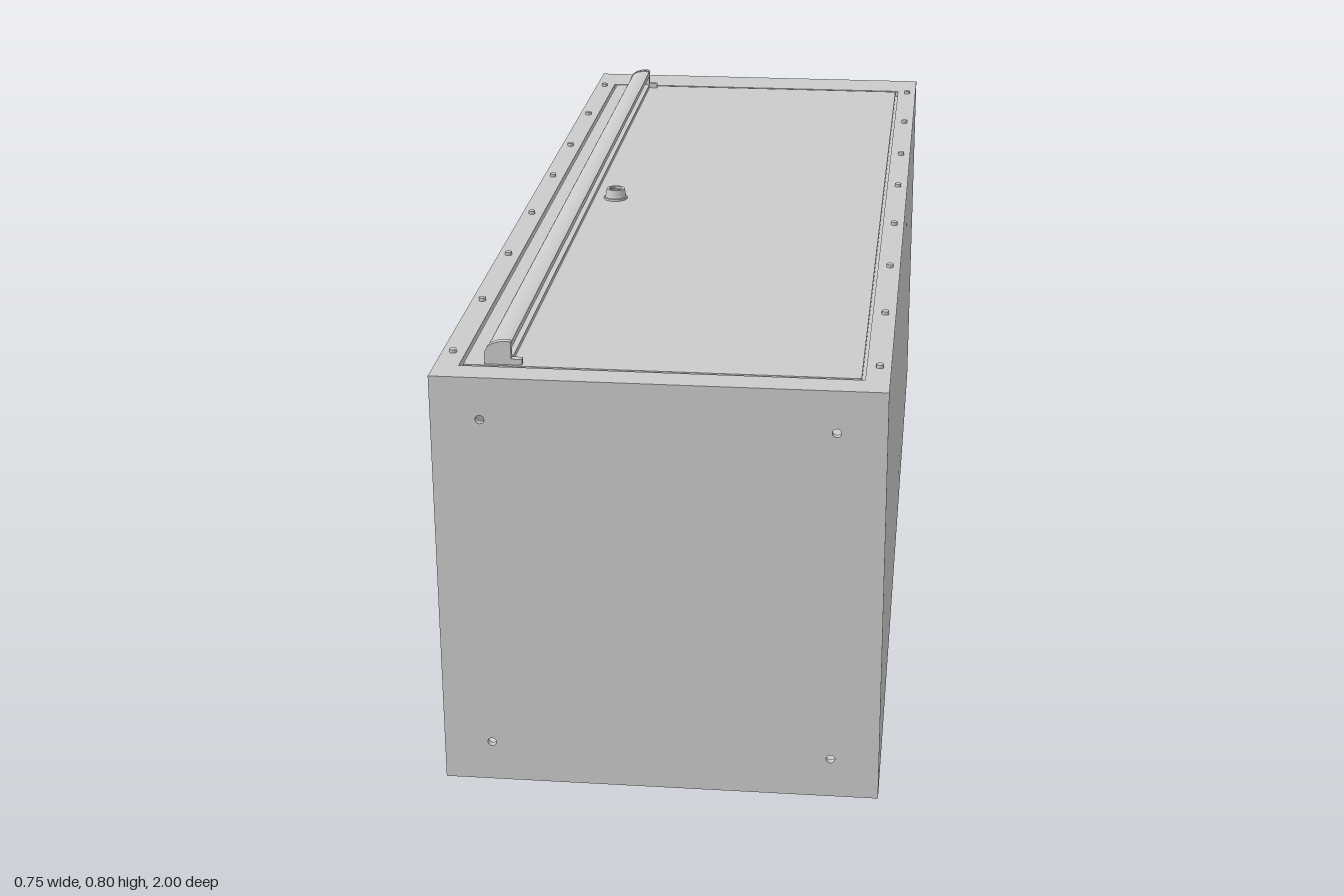
import * as THREE from 'three';

const W = 0.377, BOTTOM = 0.009, TOP = 0.762, T = 0.012;
const mat = new THREE.MeshStandardMaterial({ color: 0xcccccc });
const matThin = new THREE.MeshStandardMaterial({ color: 0xcccccc, side: THREE.DoubleSide });

// Rectangle outline from corner to corner
function rect(x0, y0, x1, y1, Type = THREE.Shape) {
  return new Type([[x0, y0], [x1, y0], [x1, y1], [x0, y1]].map(p => new THREE.Vector2(...p)));
}

function extrude(shape, depth) {
  return new THREE.ExtrudeGeometry(shape, { depth, bevelEnabled: false, curveSegments: 12 });
}

// Flat sheet with small round holes
function sheet(x0, y0, x1, y1, holes = [], r = 0.0075) {
  const s = rect(x0, y0, x1, y1);
  for (const [x, y] of holes) {
    s.holes.push(new THREE.Path().absarc(x, y, r, 0, Math.PI * 2, true));
  }
  return extrude(s, T);
}

export function createModel() {
  const model = new THREE.Group();
  const add = (name, geo, x = 0, y = 0, z = 0, parent = model, material = mat) => {
    const m = new THREE.Mesh(geo, material);
    m.name = name;
    m.position.set(x, y, z);
    parent.add(m);
    return m;
  };

  // Enclosure walls
  const inner = W - T, wallTop = TOP - T, wallBottom = BOTTOM + T;
  const mounts = [[-0.294, 0.688], [0.294, 0.688], [-0.294, 0.082], [0.294, 0.082]];
  add('frontWall', sheet(-inner, wallBottom, inner, wallTop, mounts), 0, 0, 1 - T);
  add('backWall', sheet(-inner, wallBottom, inner, wallTop), 0, 0, -1);
  const sideHoles = [[-0.163, 0.657], [-0.222, 0.657], [-0.163, 0.117], [-0.222, 0.117]];
  for (const [name, x] of [['leftWall', W], ['rightWall', -W + T]]) {
    add(name, sheet(-1, wallBottom, 1, wallTop, sideHoles), x).rotation.y = -Math.PI / 2;
  }
  add('floorPanel', new THREE.BoxGeometry(2 * W, T, 2), 0, BOTTOM + T / 2, 0);

  // Top frame with the door set into its opening
  const frame = rect(-W, -1, W, 1);
  frame.holes.push(rect(-0.336, -0.902, 0.336, 0.948, THREE.Path));
  add('doorFrame', extrude(frame, T), 0, TOP, 0).rotation.x = Math.PI / 2;
  add('door', new THREE.BoxGeometry(0.66, T, 1.838), 0, TOP - T / 2, 0.023);
  // Ledge closing the gap under the door
  add('doorLedge', new THREE.BoxGeometry(0.7, 0.008, 1.89), 0, TOP - T - 0.004, 0.023);

  // Screws along the frame and underneath
  const screw = new THREE.CylinderGeometry(0.0065, 0.0065, 0.012, 12);
  const screws = new THREE.Group();
  screws.name = 'screws';
  model.add(screws);
  for (const x of [-0.358, 0.358]) {
    for (const z of [-0.885, -0.628, -0.37, -0.138, 0.118, 0.374, 0.63, 0.888]) {
      add('topScrew', screw, x, TOP, z, screws);
    }
    for (const z of [0.888, -0.37]) add('bottomScrew', screw, x, 0.006, z, screws);
  }

  // Hooked pull bar, open toward the middle of the door
  const handle = new THREE.Group();
  handle.name = 'handle';
  model.add(handle);
  const hook = new THREE.Shape();
  hook.moveTo(-0.293, TOP);
  hook.lineTo(-0.25, TOP);
  hook.lineTo(-0.25, 0.770);
  hook.lineTo(-0.284, 0.770);
  hook.lineTo(-0.284, 0.782);
  hook.quadraticCurveTo(-0.281, 0.794, -0.256, 0.795);
  hook.lineTo(-0.256, 0.789);
  hook.lineTo(-0.25, 0.789);
  hook.lineTo(-0.25, 0.800);
  hook.lineTo(-0.258, 0.801);
  hook.quadraticCurveTo(-0.290, 0.801, -0.293, 0.782);
  hook.closePath();
  add('pullBar', extrude(hook, 1.81), 0, 0, -0.88, handle, matThin);

  // End caps with a small fixing tab
  const cap = new THREE.Shape();
  cap.moveTo(-0.295, TOP);
  cap.lineTo(-0.232, TOP);
  cap.lineTo(-0.232, 0.772);
  cap.lineTo(-0.25, 0.772);
  cap.lineTo(-0.25, 0.798);
  cap.quadraticCurveTo(-0.251, 0.803, -0.258, 0.803);
  cap.quadraticCurveTo(-0.290, 0.802, -0.295, 0.782);
  cap.closePath();
  const capGeo = extrude(cap, 0.012);
  for (const z of [-0.89, 0.925]) add('handleEndCap', capGeo, 0, 0, z, handle);

  // Lock: tapered barrel on a thin washer, with a key slot
  const lock = new THREE.Group();
  lock.name = 'lock';
  lock.position.set(-0.207, TOP, 0);
  model.add(lock);
  add('lockWasher', new THREE.CylinderGeometry(0.0235, 0.0235, 0.004, 32), 0, 0.002, 0, lock);
  const barrel = [[0.021, 0.004], [0.018, 0.021], [0.018, 0.021], [0.013, 0.021], [0.013, 0.021],
    [0.013, 0.016], [0.013, 0.016], [0, 0.016]].map(p => new THREE.Vector2(...p));
  add('lockBarrel', new THREE.LatheGeometry(barrel, 32), 0, 0, 0, lock, matThin);
  add('lockKeyBar', new THREE.BoxGeometry(0.02, 0.004, 0.004), 0, 0.018, 0, lock);

  return model;
}
